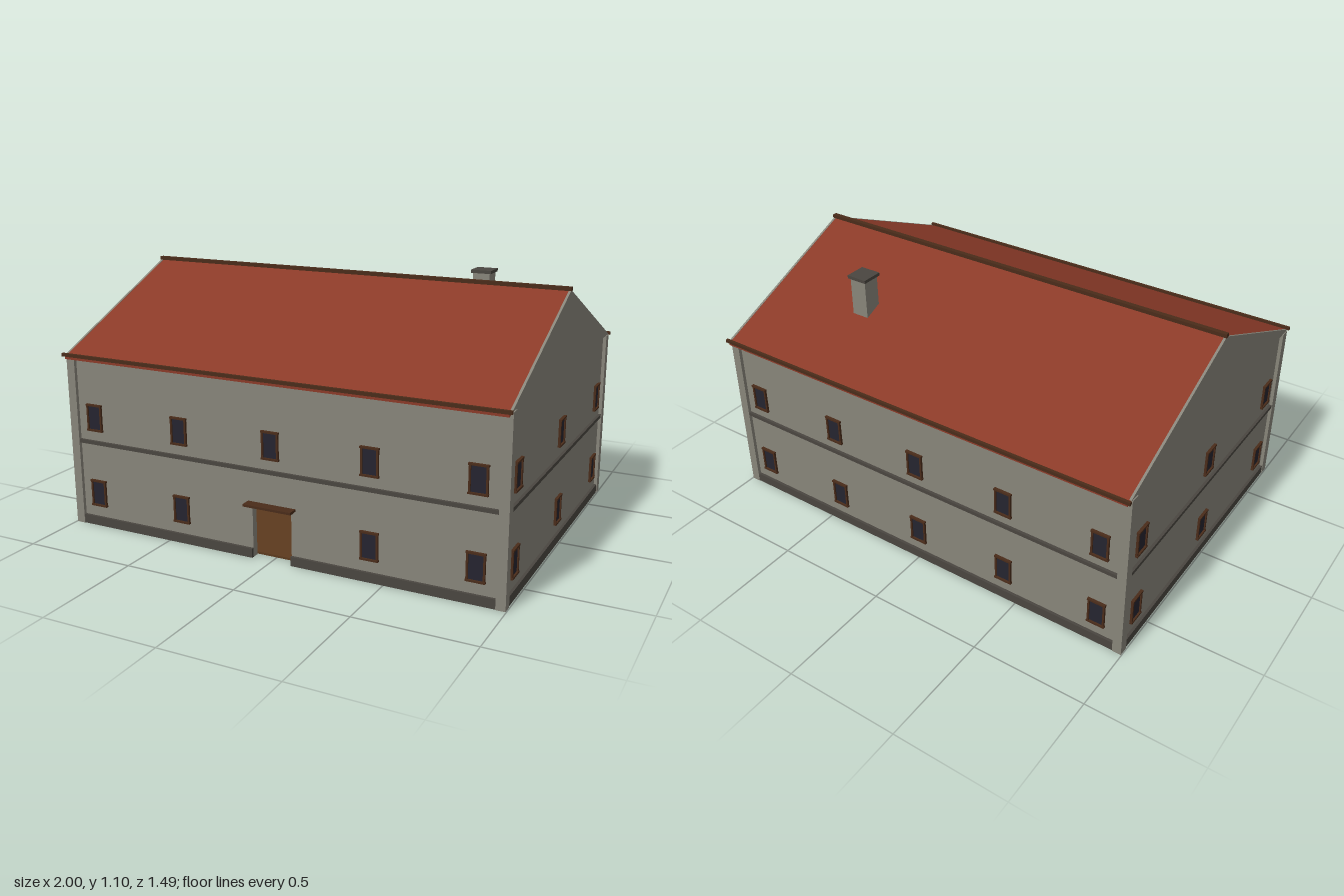
import * as THREE from 'three';

const mat = (name, color) => {
  const m = new THREE.MeshStandardMaterial({ color });
  m.name = name;
  return m;
};

export function createModel() {
  const stone = mat('stone', 0x88857a);
  const darkStone = mat('dark stone', 0x4a4640);
  const tile = mat('roof tile', 0x8b3a28);
  const wood = mat('wood', 0x5c3a1e);
  const darkWood = mat('dark wood', 0x4a2c1a);
  const glass = mat('glass', 0x25242f);

  const house = new THREE.Group();
  house.name = 'house';

  // box given by its limits on each axis
  const box = (name, m, x0, x1, y0, y1, z0, z1, parent = house) => {
    const mesh = new THREE.Mesh(new THREE.BoxGeometry(x1 - x0, y1 - y0, z1 - z0), m);
    mesh.position.set((x0 + x1) / 2, (y0 + y1) / 2, (z0 + z1) / 2);
    mesh.name = name;
    parent.add(mesh);
    return mesh;
  };
  // profile of [z, y] points extruded along x
  const alongX = (name, m, pts, x0, x1) => {
    const shape = new THREE.Shape(pts.map(([z, y]) => new THREE.Vector2(-z, y)));
    const geo = new THREE.ExtrudeGeometry(shape, { depth: x1 - x0, bevelEnabled: false });
    geo.rotateY(Math.PI / 2).translate(x0, 0, 0);
    const mesh = new THREE.Mesh(geo, m);
    mesh.name = name;
    house.add(mesh);
  };

  const WX = 0.982, WZ = 0.7, T = 0.03, H = 0.768, DOOR = 0.09, DOOR_H = 0.228;

  // Hollow walls, the front one with a doorway
  box('floor', wood, -WX + T, WX - T, 0.003, 0.012, -WZ + T, WZ - T);
  box('backWall', stone, -WX, WX, 0, H, -WZ, -WZ + T);
  for (const s of [-1, 1]) {
    const x = s * (WX - T / 2);
    box('sideWall', stone, x - T / 2, x + T / 2, 0, H, -WZ + T, WZ - T);
  }
  const front = new THREE.Shape([
    [-WX, 0], [-DOOR, 0], [-DOOR, DOOR_H], [DOOR, DOOR_H], [DOOR, 0], [WX, 0], [WX, H], [-WX, H],
  ].map(([x, y]) => new THREE.Vector2(x, y)));
  const frontWall = new THREE.Mesh(
    new THREE.ExtrudeGeometry(front, { depth: T, bevelEnabled: false }), stone);
  frontWall.position.z = WZ - T;
  frontWall.name = 'frontWall';
  house.add(frontWall);

  // Corner pilasters
  for (const sx of [-1, 1]) for (const sz of [-1, 1]) {
    const x = sx * 0.977, z = sz * 0.694;
    box('cornerPilaster', stone, x - 0.02, x + 0.02, 0, 0.766, z - 0.021, z + 0.021);
  }

  // Plinth and belt course between the pilasters
  const PX = 0.957, PZ = 0.673, OUT = 0.012;
  box('plinthBack', darkStone, -PX, PX, 0, 0.04, -WZ - OUT, -WZ);
  box('plinthFrontRight', darkStone, -PX, -DOOR, 0, 0.04, WZ, WZ + OUT);
  box('plinthFrontLeft', darkStone, DOOR, PX, 0, 0.04, WZ, WZ + OUT);
  for (const s of [-1, 1]) {
    const x = s * (WX + OUT / 2), z = s * (WZ + OUT / 2);
    box('plinthSide', darkStone, x - OUT / 2, x + OUT / 2, 0, 0.04, -PZ, PZ);
    box('beltSide', darkStone, x - OUT / 2, x + OUT / 2, 0.375, 0.391, -PZ, PZ);
    box('beltLong', darkStone, -PX, PX, 0.375, 0.391, z - OUT / 2, z + OUT / 2);
  }

  // Canopy over the doorway
  box('canopyLower', darkWood, -0.1, 0.1, 0.224, 0.234, WZ, 0.72);
  box('canopy', darkWood, -0.11, 0.11, 0.234, 0.244, WZ, 0.745);

  // Windows, built facing +z and turned onto each wall
  const addWindow = (x, y, z, turn) => {
    const w = new THREE.Group();
    w.name = 'window';
    box('pane', glass, -0.033, 0.033, -0.055, 0.055, -0.002, 0.004, w);
    for (const s of [-1, 1]) {
      box('windowJamb', darkWood, s * 0.034 - 0.004, s * 0.034 + 0.004, -0.054, 0.054, -0.002, 0.01, w);
      box('windowRail', darkWood, -0.04, 0.04, s * 0.056 - 0.004, s * 0.056 + 0.004, -0.002, 0.012, w);
    }
    w.position.set(x, y, z);
    w.rotation.y = turn;
    house.add(w);
  };
  for (const y of [0.15, 0.495]) {
    for (const x of [-0.873, -0.437, 0, 0.437, 0.873]) {
      if (x !== 0 || y > 0.3) addWindow(x, y, WZ, 0);
      addWindow(x, y, -WZ, Math.PI);
    }
    for (const z of [-0.59, 0, 0.59]) for (const s of [-1, 1])
      addWindow(s * WX, y, z, s * Math.PI / 2);
  }

  // Gabled roof: tiled slopes between thin stone gable ends
  const APEX = 1.085, SLOPE = 0.438;
  const roofY = (z) => APEX - SLOPE * Math.abs(z);
  const E = 0.735, D = 0.012;
  alongX('roofSlopes', tile, [
    [E, roofY(E)], [0, APEX], [-E, roofY(E)], [-E, roofY(E) - D], [0, APEX - D], [E, roofY(E) - D],
  ], -0.988, 0.988);
  for (const s of [-1, 1]) {
    const x = s * 0.989;
    alongX('gable', stone, [[0.718, H], [0.718, roofY(0.718) + 0.001], [0, APEX + 0.001],
      [-0.718, roofY(0.718) + 0.001], [-0.718, H]], x - 0.005, x + 0.005);
    const z = s * 0.735;
    box('eaveBoard', darkWood, -1, 1, 0.763, 0.777, z - 0.006, z + 0.006);
  }
  box('ridgeCap', darkWood, -0.996, 0.996, 1.083, 1.099, -0.01, 0.01);

  // Chimney on the rear slope
  box('chimney', stone, 0.458, 0.536, 0.88, 1.072, -0.415, -0.337);
  box('chimneyCap', darkStone, 0.45, 0.544, 1.072, 1.086, -0.423, -0.329);

  return house;
}
